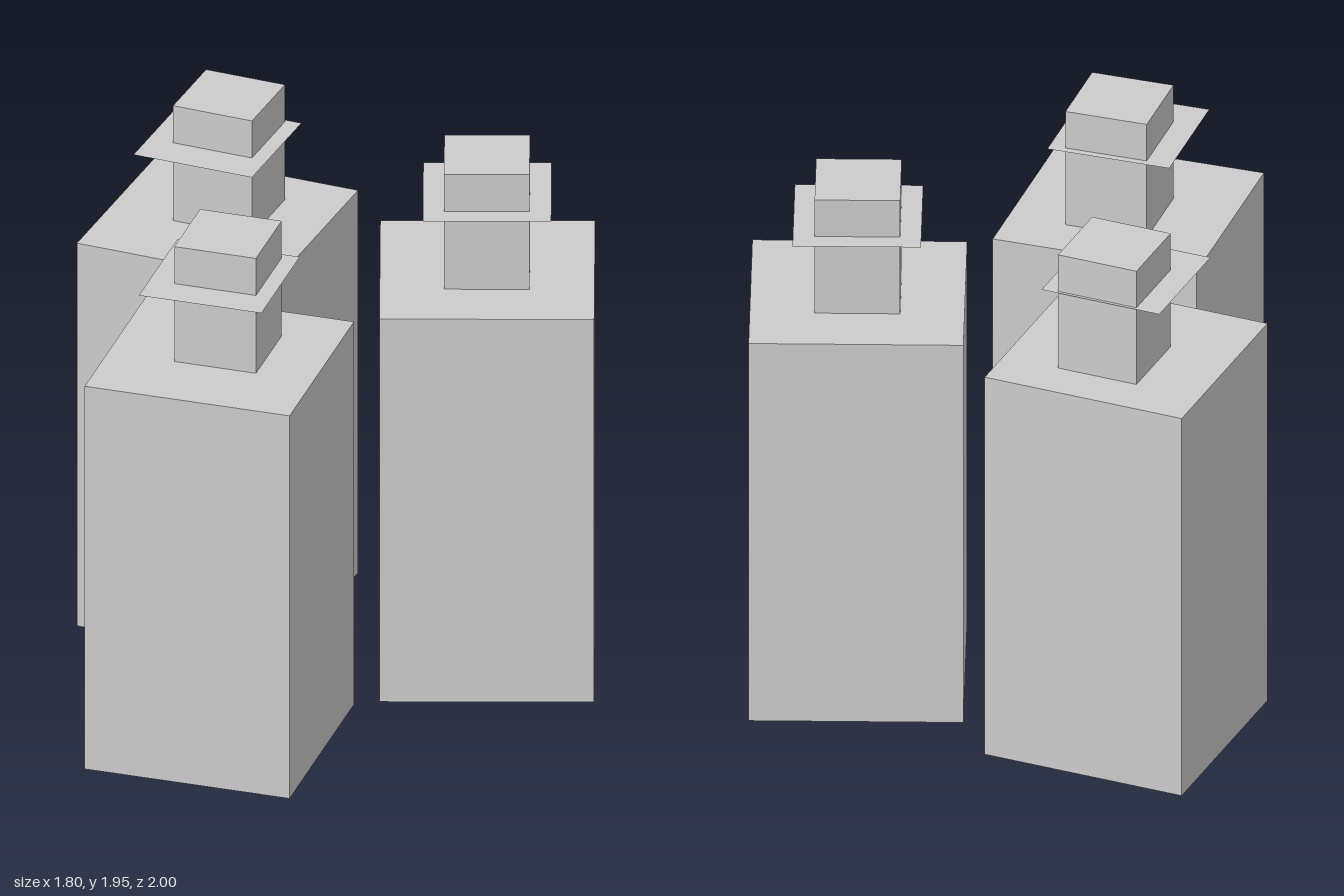
import * as THREE from 'three';

const BODY = 0.748, BODY_H = 1.5;
const NECK = 0.298, TOP = 1.95;
const COLLAR = 0.447, COLLAR_Y = 1.805;

// One square bottle; the neck may sit a little off the body's centre
function makeBottle(name, x, z, degrees, neckX, neckZ) {
  const material = new THREE.MeshStandardMaterial({ color: 0xcccccc, flatShading: true });
  const angle = THREE.MathUtils.degToRad(degrees);
  const bottle = new THREE.Group();
  bottle.name = name;

  const add = (part, geometry, mat, px, py, pz) => {
    const mesh = new THREE.Mesh(geometry, mat);
    mesh.name = part;
    mesh.position.set(px, py, pz);
    mesh.rotation.y = angle;
    bottle.add(mesh);
  };

  add('body', new THREE.BoxGeometry(BODY, BODY_H, BODY), material, x, BODY_H / 2, z);
  add('neck', new THREE.BoxGeometry(NECK, TOP - BODY_H, NECK), material, neckX, (TOP + BODY_H) / 2, neckZ);

  // Paper-thin square collar around the neck
  const sheet = material.clone();
  sheet.side = THREE.DoubleSide;
  add('collar', new THREE.PlaneGeometry(COLLAR, COLLAR).rotateX(-Math.PI / 2), sheet, x, COLLAR_Y, z);
  return bottle;
}

export function createModel() {
  const model = new THREE.Group();
  model.name = 'bottles';
  model.add(
    makeBottle('leftBottle', 0.526, -0.115, 0, 0.525, -0.117),
    makeBottle('backBottle', -0.415, -0.514, -22.5, -0.375, -0.565),
    makeBottle('frontBottle', -0.404, 0.526, -17.2, -0.374, 0.485),
  );
  return model;
}
